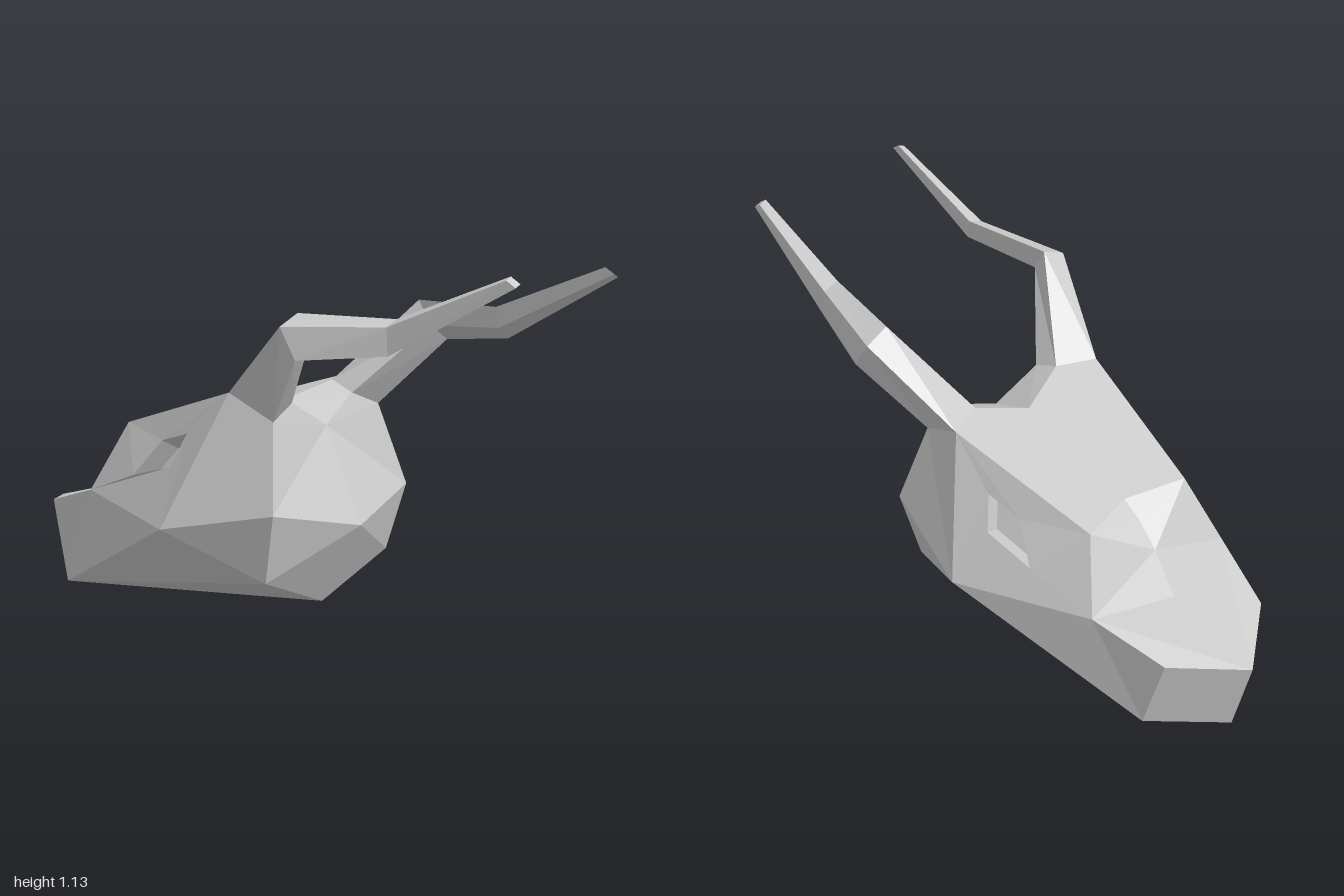
import * as THREE from 'three';

const material = new THREE.MeshStandardMaterial({ color: 0xcccccc, flatShading: true, side: THREE.DoubleSide });

// Corner points of the left half of the head (x >= 0)
const P = {
  crownFront: [0, 0.69, -0.005], crownBack: [0, 0.62, 0.155],
  hornA: [0.295, 0.74, 0], hornB: [0.17, 0.74, 0.055], hornC: [0.16, 0.705, 0.14], hornD: [0.28, 0.66, 0.16],
  cheek: [0.45, 0.32, -0.15],
  backSide: [0.36, 0.39, 0.22], backMid: [0, 0.315, 0.29],
  lowSide: [0.325, 0.17, 0.165], lowMid: [0, 0.05, 0.14],
  jaw: [0.22, 0.028, -0.77], chin: [0, 0, -0.94],
  noseTip: [0, 0.27, -1], lip: [0.21, 0.3, -0.84],
  muzzle: [0.28, 0.37, -0.6], bridge: [0, 0.34, -0.67],
  noseHigh: [0, 0.545, -0.505], noseLow: [0, 0.47, -0.58],
  brow: [0.2, 0.595, -0.5], browMid: [0, 0.585, -0.44],
  eyeA: [0.305, 0.6, -0.16], eyeB: [0.285, 0.565, -0.28], eyeC: [0.325, 0.45, -0.37], eyeD: [0.345, 0.495, -0.2],
};

// Faces of the left half, as fans of corners
const headFaces = [
  // crown and back of the head
  'crownFront browMid brow', 'crownFront brow hornB', 'hornB brow hornA',
  'crownFront hornB hornC crownBack', 'crownBack hornC hornD',
  'crownBack hornD backSide', 'crownBack backSide backMid',
  'backMid backSide lowSide', 'backMid lowSide lowMid',
  // temple and underside
  'hornD hornA cheek', 'hornD cheek backSide', 'backSide cheek lowSide',
  'cheek jaw lowSide', 'lowSide jaw lowMid', 'lowMid jaw chin', 'cheek muzzle jaw',
  // side of the face around the eye opening
  'hornA brow eyeB eyeA', 'brow muzzle eyeC eyeB', 'muzzle cheek eyeD eyeC', 'cheek hornA eyeA eyeD',
  // nose and snout
  'browMid noseHigh brow', 'noseHigh noseLow brow', 'brow noseLow muzzle', 'noseLow bridge muzzle',
  'bridge noseTip muzzle', 'noseTip lip muzzle', 'muzzle lip jaw', 'lip noseTip jaw', 'noseTip chin jaw',
].map((face) => face.split(' ').map((name) => P[name]));

// Builds a mesh from polygon fans; mirrored copies get reversed winding
function polyMesh(name, polygons, sides, center) {
  const positions = [];
  for (const side of sides) {
    for (const poly of polygons) {
      for (let i = 1; i < poly.length - 1; i++) {
        const tri = [poly[0], poly[i], poly[i + 1]].map((p) => new THREE.Vector3(...p));
        let flip = side < 0;
        if (center) {
          const normal = new THREE.Triangle(...tri).getNormal(new THREE.Vector3());
          if (normal.dot(tri[0].clone().sub(center)) < 0) flip = !flip;
        }
        if (flip) tri.reverse();
        tri.forEach((v) => positions.push(v.x * side, v.y, v.z));
      }
    }
  }
  const geometry = new THREE.BufferGeometry();
  geometry.setAttribute('position', new THREE.Float32BufferAttribute(positions, 3));
  geometry.computeVertexNormals();
  const mesh = new THREE.Mesh(geometry, material);
  mesh.name = name;
  return mesh;
}

// Four-sided loops of a horn, from the skull to the tip
const hornRings = [
  [P.hornA, P.hornB, P.hornC, P.hornD],
  [[0.405, 0.965, 0.28], [0.325, 1.0, 0.285], [0.325, 0.92, 0.33], [0.41, 0.87, 0.34]],
  [[0.327, 0.975, 0.6], [0.275, 0.995, 0.6], [0.275, 0.93, 0.61], [0.335, 0.893, 0.61]],
  [[0.3, 1.12, 0.97], [0.275, 1.13, 0.97], [0.275, 1.11, 1.0], [0.3, 1.1, 1.0]],
];

function hornFaces() {
  const faces = [];
  for (let r = 0; r < hornRings.length - 1; r++) {
    const low = hornRings[r], high = hornRings[r + 1];
    for (let j = 0; j < 4; j++) {
      const k = (j + 1) % 4;
      faces.push([low[j], low[k], high[k], high[j]]);
    }
  }
  faces.push(hornRings[hornRings.length - 1]);
  return faces;
}

// Recess pushed inwards from the rim of the eye opening
function socketFaces() {
  const rim = [P.eyeA, P.eyeB, P.eyeC, P.eyeD];
  const floor = rim.map(([x, y, z]) => [x - 0.055, y - 0.03, z + 0.02]);
  const faces = rim.map((p, j) => {
    const k = (j + 1) % 4;
    return [p, floor[j], floor[k], rim[k]];
  });
  faces.push([...floor].reverse());
  return faces;
}

export function createModel() {
  const group = new THREE.Group();
  group.name = 'hornedHead';
  group.add(polyMesh('head', headFaces, [1, -1], new THREE.Vector3(0, 0.35, -0.3)));
  for (const [label, side] of [['left', 1], ['right', -1]]) {
    group.add(polyMesh(label + 'Horn', hornFaces(), [side]));
    group.add(polyMesh(label + 'EyeSocket', socketFaces(), [side]));
  }
  return group;
}
